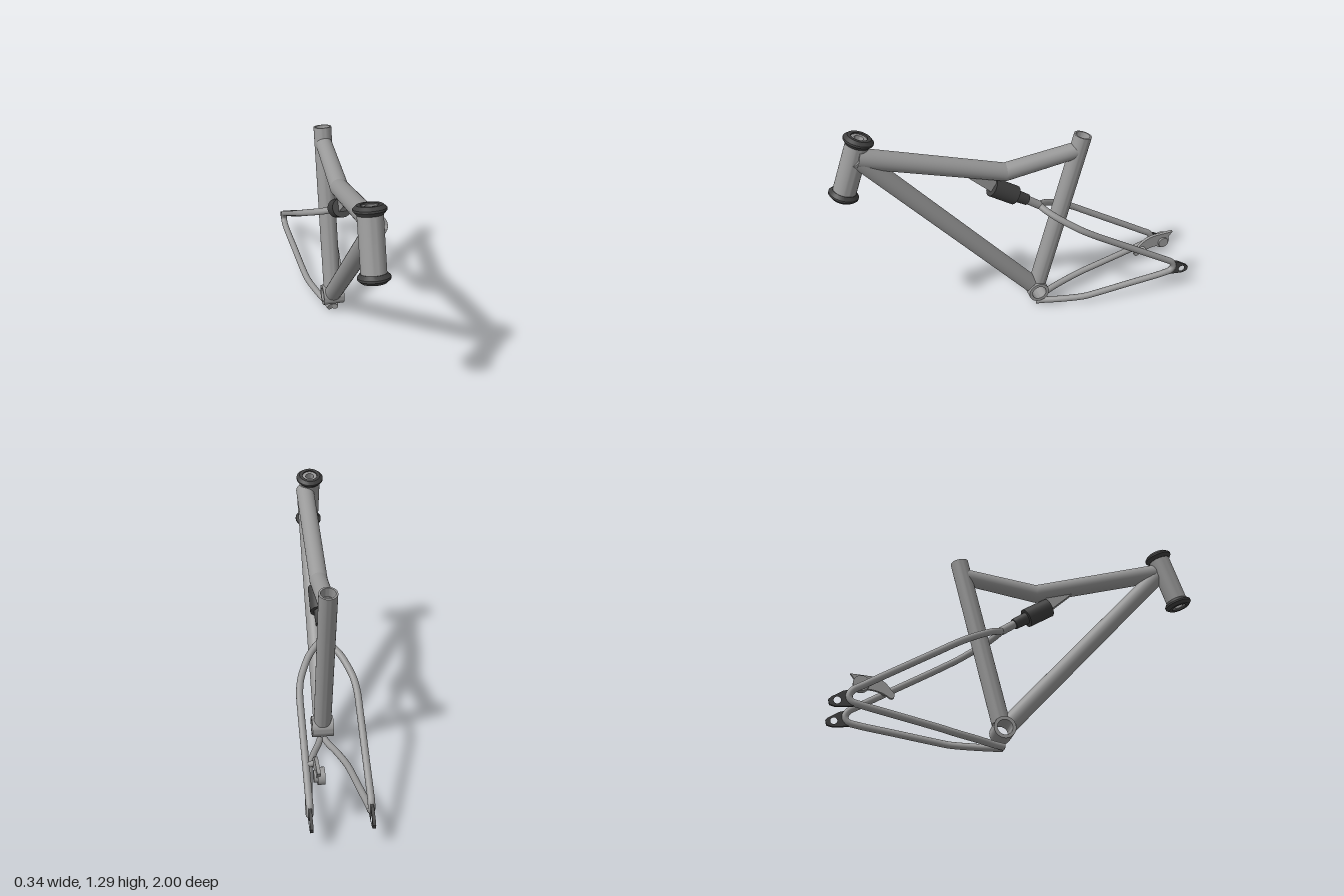
import * as THREE from 'three';
import { toCreasedNormals } from 'three/addons/utils/BufferGeometryUtils.js';

const grey = new THREE.MeshStandardMaterial({ color: 0x999999 });
const dark = new THREE.MeshStandardMaterial({ color: 0x404040 });
const UP = new THREE.Vector3(0, 1, 0);
const V = (x, y, z) => new THREE.Vector3(x, y, z);

export function createModel() {
  const model = new THREE.Group();

  function add(name, geometry, material = grey) {
    const mesh = new THREE.Mesh(geometry, material);
    mesh.name = name;
    model.add(mesh);
    return mesh;
  }

  // Stand a y-aligned mesh at a, pointing towards b
  function aim(mesh, a, b) {
    mesh.position.copy(a);
    mesh.quaternion.setFromUnitVectors(UP, b.clone().sub(a).normalize());
    return mesh;
  }

  // Solid round bar between two points
  function bar(name, a, b, rA, rB = rA, material = grey) {
    const len = a.distanceTo(b);
    const geo = new THREE.CylinderGeometry(rB, rA, len, 32).translate(0, len / 2, 0);
    return aim(add(name, geo, material), a, b);
  }

  // Turned part from [radius, height] pairs
  function turned(name, profile, a, b, material = grey) {
    const geo = new THREE.LatheGeometry(profile.map(([r, y]) => new THREE.Vector2(r, y)), 40);
    return aim(add(name, toCreasedNormals(geo, 0.5), material), a, b);
  }

  const pipe = (len, r, inner) => [[r, 0], [r, len], [inner, len], [inner, 0], [r, 0]];

  // Flat plate drawn in side profile (u = -z, v = y), centred on x
  function plate(name, shape, x, thick, material = grey) {
    const geo = new THREE.ExtrudeGeometry(shape, { depth: thick, bevelEnabled: false, curveSegments: 12 });
    geo.translate(0, 0, -thick / 2).rotateY(Math.PI / 2).translate(x, 0, 0);
    return add(name, geo, material);
  }
  const outline = pts => new THREE.Shape(pts.map(([u, v]) => new THREE.Vector2(u, v)));

  // Head tube with bearing rings at both ends, inside two cups
  const headLow = V(-0.027, 0.963, 0.928), headHigh = V(-0.027, 1.256, 0.825);
  const headLen = headLow.distanceTo(headHigh);
  turned('headTube', [[0.06, 0], [0.06, headLen], [0.043, headLen], [0.043, headLen + 0.014],
    [0.024, headLen + 0.014], [0.024, -0.014], [0.043, -0.014], [0.043, 0], [0.06, 0]], headLow, headHigh);
  const cup = [[0.042, -0.022], [0.06, -0.022], [0.077, -0.006], [0.077, 0.004], [0.062, 0.022],
    [0.042, 0.022], [0.042, -0.022]];
  turned('lowerHeadCup', cup, headLow, headHigh, dark);
  turned('upperHeadCup', cup, headHigh, headLow, dark);

  // Main triangle
  const bracket = V(0, 0.117, -0.097);
  const topStart = V(0, 1.175, 0.845), topBend = V(0, 0.94, 0.085), topEnd = V(0, 0.995, -0.32);
  bar('topTubeFront', topStart, topBend, 0.052, 0.049);
  bar('topTubeRear', topBend, topEnd, 0.049, 0.045);
  add('topTubeBend', new THREE.SphereGeometry(0.049, 32, 20)).position.copy(topBend);

  const fromBracket = (p, d) => bracket.clone().add(p.clone().sub(bracket).setLength(d));
  bar('downTube', fromBracket(topStart, 0.043), topStart, 0.049);

  const seatTop = V(0, 1.08, -0.353);
  const seatLow = fromBracket(seatTop, 0.043);
  turned('seatTube', pipe(seatLow.distanceTo(seatTop), 0.049, 0.039), seatLow, seatTop);

  // Bottom bracket shell, open across the frame
  turned('bottomBracketShell', pipe(0.12, 0.059, 0.041), V(-0.06, 0.117, -0.097), V(0.06, 0.117, -0.097));

  // Shock absorber and its mount below the top tube
  plate('shockMount', outline([[-0.3, 0.97], [-0.29, 0.955], [-0.17, 0.845], [-0.135, 0.88],
    [-0.14, 0.91], [-0.1, 0.94]]), 0, 0.04);
  const shockA = V(0, 0.862, 0.158), shockB = V(0, 0.782, 0.03);
  const shockC = V(0, 0.738, -0.038), shockD = V(0, 0.686, -0.112);
  bar('shockBody', shockA, shockB, 0.052, 0.052, dark);
  bar('shockCollar', shockB, shockC, 0.033, 0.03, dark);
  bar('shockRod', shockC, shockD, 0.023);

  // Seat stay and chain stay run as one bent tube on each side, with an axle plate
  for (const s of [1, -1]) {
    const side = s > 0 ? 'left' : 'right';
    const path = new THREE.CatmullRomCurve3([
      [0, 0.688, -0.108], [0.04, 0.665, -0.14], [0.08, 0.637, -0.185], [0.115, 0.598, -0.25],
      [0.14, 0.557, -0.317], [0.15, 0.515, -0.387], [0.151, 0.47, -0.46], [0.151, 0.37, -0.625],
      [0.151, 0.245, -0.83], [0.151, 0.207, -0.888], [0.151, 0.175, -0.901], [0.151, 0.149, -0.885],
      [0.15, 0.138, -0.845], [0.129, 0.099, -0.63], [0.109, 0.063, -0.43], [0.098, 0.05, -0.36],
      [0.06, 0.036, -0.23], [0.03, 0.028, -0.15], [0.014, 0.024, -0.095],
    ].map(([x, y, z]) => V(s * x, y, z)));
    add(side + 'Stays', new THREE.TubeGeometry(path, 160, 0.0185, 14));
    const end = path.getPoint(1), tip = end.clone().addScaledVector(path.getTangent(1), 0.002);
    bar(side + 'StayEnd', end, tip, 0.0185);

    const axlePlate = outline([[0.88, 0.215], [0.93, 0.2], [0.985, 0.165], [0.998, 0.15],
      [0.992, 0.125], [0.96, 0.117], [0.87, 0.127], [0.905, 0.155], [0.905, 0.18]]);
    const hole = new THREE.Path();
    hole.absarc(0.955, 0.149, 0.018, 0, Math.PI * 2, true);
    axlePlate.holes.push(hole);
    plate(side + 'AxlePlate', axlePlate, s * 0.151, 0.016, dark);
  }

  // Brake caliper inside the left seat stay: hooked arm, round body and mount
  const arm = new THREE.Shape();
  arm.moveTo(0.66, 0.285);
  arm.quadraticCurveTo(0.65, 0.31, 0.675, 0.325);
  arm.quadraticCurveTo(0.72, 0.395, 0.8, 0.395);
  arm.lineTo(0.895, 0.4);
  arm.quadraticCurveTo(0.865, 0.37, 0.86, 0.335);
  arm.quadraticCurveTo(0.835, 0.3, 0.8, 0.32);
  arm.quadraticCurveTo(0.74, 0.32, 0.69, 0.288);
  arm.quadraticCurveTo(0.672, 0.272, 0.66, 0.285);
  plate('caliperArm', arm, 0.105, 0.018);
  bar('caliperBody', V(0.072, 0.342, -0.835), V(0.108, 0.342, -0.835), 0.043);
  bar('caliperHub', V(0.108, 0.342, -0.835), V(0.126, 0.342, -0.835), 0.03);
  bar('caliperMount', V(0.1, 0.325, -0.705), V(0.148, 0.318, -0.712), 0.015);

  return model;
}
